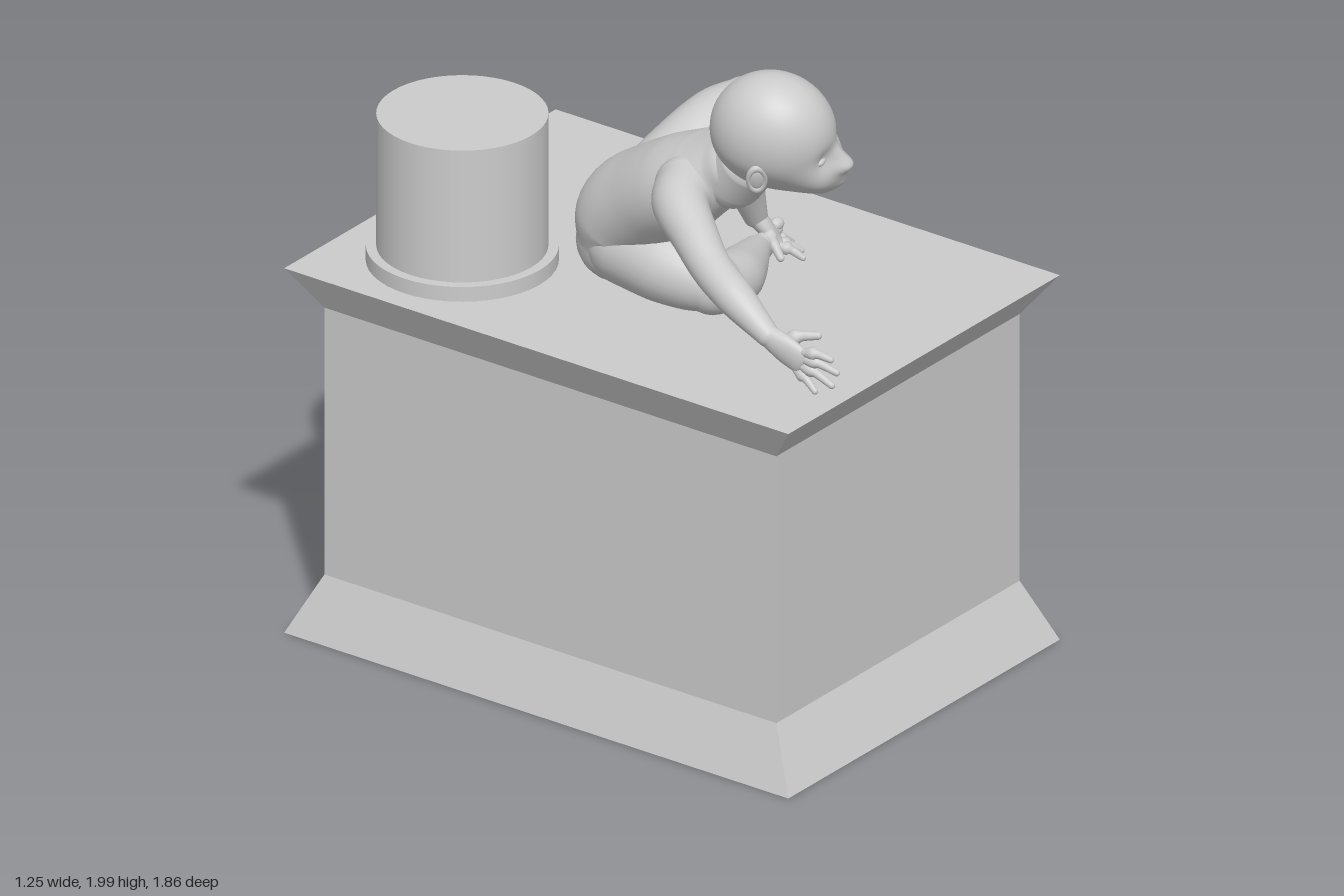
import * as THREE from 'three';

const material = new THREE.MeshStandardMaterial({ color: 0xcccccc });
const flat = new THREE.MeshStandardMaterial({ color: 0xcccccc, flatShading: true });
const V = (a) => new THREE.Vector3(...a);

function add(parent, name, geometry, mat = material) {
  const mesh = new THREE.Mesh(geometry, mat);
  mesh.name = name;
  parent.add(mesh);
  return mesh;
}

// Sweeps an ellipse along [x, y, z, radius along ref, other radius] with rounded ends.
function loft(sections, ref, steps = 10, sides = 28) {
  const path = new THREE.CatmullRomCurve3(sections.map((s) => V(s.slice(0, 3))));
  const radii = new THREE.CatmullRomCurve3(sections.map((s) => new THREE.Vector3(s[3], s[4] ?? s[3], 0)));
  const rows = [];
  const row = (u, angle, end) => {
    const t = path.getTangent(u), r = radii.getPoint(u);
    const centre = path.getPoint(u).addScaledVector(t, end * Math.sin(angle) * Math.min(r.x, r.y));
    rows.push({ centre, t, r: r.multiplyScalar(Math.cos(angle)) });
  };
  const cap = 8, body = steps * (sections.length - 1);
  for (let i = cap; i > 0; i--) row(0, (i / cap) * Math.PI / 2, -1);
  for (let i = 0; i <= body; i++) row(i / body, 0, 0);
  for (let i = 1; i <= cap; i++) row(1, (i / cap) * Math.PI / 2, 1);

  const positions = [], index = [];
  rows.forEach(({ centre, t, r }, i) => {
    const a = V(ref).addScaledVector(t, -V(ref).dot(t)).normalize();
    const b = t.clone().cross(a);
    for (let j = 0; j < sides; j++) {
      const q = (j / sides) * Math.PI * 2;
      const p = centre.clone().addScaledVector(a, r.x * Math.cos(q)).addScaledVector(b, r.y * Math.sin(q));
      positions.push(p.x, p.y, p.z);
      if (i === rows.length - 1) continue;
      const k = i * sides + j, n = i * sides + ((j + 1) % sides);
      index.push(k, n, k + sides, n, n + sides, k + sides);
    }
  });
  const g = new THREE.BufferGeometry();
  g.setAttribute('position', new THREE.Float32BufferAttribute(positions, 3));
  g.setIndex(index);
  g.computeVertexNormals();
  return g;
}

// Rectangular plinth with flared foot and rim
function plinth() {
  const g = new THREE.BoxGeometry(2, 1, 2, 1, 3, 1).toNonIndexed();
  const levels = [[0, 0.625, 0.87], [0.18, 0.56, 0.78], [1, 0.56, 0.78], [1.12, 0.625, 0.87]];
  const p = g.attributes.position;
  for (let i = 0; i < p.count; i++) {
    const [y, w, d] = levels[Math.round((p.getY(i) + 0.5) * 3)];
    p.setXYZ(i, p.getX(i) * w, y, p.getZ(i) * d - 0.055);
  }
  g.computeVertexNormals();
  return g;
}

// Skull shaped from a sphere: fuller lower face, then soft bumps for the features
function skull() {
  const g = new THREE.SphereGeometry(1, 96, 80);
  const p = g.attributes.position, v = new THREE.Vector3();
  const bumps = [ // centre, spread, push
    [[0, -0.165, 0.13], 0.045, [0, -0.028, 0.028]], // chin
    [[0, -0.068, 0.185], 0.018, [0, -0.004, 0.03]], // nose tip
    [[0, -0.035, 0.185], 0.015, [0, 0, 0.01]], // nose bridge
    [[0, -0.108, 0.18], 0.022, [0, 0, 0.014]], // upper lip
    [[0, -0.138, 0.17], 0.018, [0, 0, 0.014]], // lower lip
  ];
  for (const s of [-1, 1]) bumps.push(
    [[s * 0.018, -0.075, 0.18], 0.011, [0, 0, 0.011]], // nostril
    [[s * 0.075, -0.1, 0.145], 0.04, [s * 0.01, -0.006, 0.012]], // cheek
    [[s * 0.055, -0.028, 0.165], 0.022, [0, 0, -0.013]], // eye socket
    [[s * 0.018, -0.124, 0.18], 0.009, [0, 0, -0.006]], // mouth line
  );
  for (let i = 0; i < p.count; i++) {
    v.fromBufferAttribute(p, i);
    const low = THREE.MathUtils.smoothstep(-v.y, 0, 0.85), front = Math.max(0, v.z);
    v.set(v.x * 0.152 * (1 - 0.13 * low), v.y * 0.182, v.z * 0.178 + 0.05 * low * Math.sqrt(front));
    const base = v.clone();
    for (const [c, spread, push] of bumps)
      v.addScaledVector(V(push), Math.exp(-base.distanceToSquared(V(c)) / (2 * spread * spread)));
    p.setXYZ(i, v.x, v.y, v.z);
  }
  g.computeVertexNormals();
  return g;
}

function head() {
  const group = new THREE.Group();
  group.name = 'head';
  add(group, 'skull', skull());
  for (const s of [-1, 1]) {
    const eye = add(group, 'eye', new THREE.SphereGeometry(0.02, 20, 14));
    eye.position.set(s * 0.054, -0.03, 0.148);
    eye.scale.set(1.1, 0.65, 0.8);
    const ear = new THREE.Group();
    ear.name = 'ear';
    const rim = add(ear, 'earRim', new THREE.TorusGeometry(0.032, 0.009, 10, 28));
    rim.scale.set(0.75, 1.25, 1);
    const bowl = add(ear, 'earBowl', new THREE.SphereGeometry(0.03, 18, 12));
    bowl.scale.set(0.8, 1.2, 0.3);
    ear.position.set(s * 0.153, -0.045, -0.005);
    ear.rotation.y = s * 1.15;
    group.add(ear);
  }
  // Turned to its left and tilted to its right
  const left = V([0.897, 0.304, -0.32]).normalize();
  const up = V([0.35, -0.05, 0.93]).cross(left).normalize();
  group.setRotationFromMatrix(new THREE.Matrix4().makeBasis(left, up, left.clone().cross(up)));
  group.position.set(-0.26, 1.815, 0.49);
  return group;
}

// Palm, four fingers fanned along the spread direction, and a thumb
function hand(name, wrist, palm, spread, tips, thumb) {
  const group = new THREE.Group();
  group.name = name;
  add(group, 'palm', loft([[...wrist, 0.033, 0.028], [...V(wrist).lerp(V(palm), 0.55), 0.043, 0.024], [...palm, 0.042, 0.018]], spread));
  const digit = (part, from, tip, r) => {
    const mid = from.clone().lerp(V(tip), 0.5).add(new THREE.Vector3(0, 0.006, 0));
    add(group, part, loft([[...from, r], [...mid, r], [...tip, r * 0.75]], spread, 5, 12));
  };
  tips.forEach((tip, i) => digit('finger', V(palm).addScaledVector(V(spread), 0.033 - i * 0.022), tip, 0.0125));
  digit('thumb', V(wrist).lerp(V(palm), 0.4).addScaledVector(V(thumb).sub(V(palm)), 0.2), thumb, 0.015);
  return group;
}

// Foot sweep with five toes, the first one biggest
function foot(name, sections, ref, firstToe, lastToe) {
  const group = new THREE.Group();
  group.name = name;
  add(group, 'sole', loft(sections, ref));
  for (let i = 0; i < 5; i++) {
    const toe = add(group, 'toe', new THREE.SphereGeometry(0.019 - i * 0.0017, 14, 10));
    toe.position.copy(V(firstToe).lerp(V(lastToe), i / 4));
    toe.scale.x = 1.35;
  }
  return group;
}

export function createModel() {
  const model = new THREE.Group();
  add(model, 'plinth', plinth(), flat);

  // Round drum behind the figure
  const drum = (name, r, y0, y1) =>
    add(model, name, new THREE.CylinderGeometry(r, r, y1 - y0, 48)).position.set(-0.285, (y0 + y1) / 2, -0.565);
  drum('drumBase', 0.267, 1.12, 1.165);
  drum('drum', 0.238, 1.165, 1.57);

  // Leaning child
  const child = new THREE.Group();
  child.name = 'child';
  model.add(child);
  add(child, 'torso', loft([
    [-0.13, 1.27, -0.12, 0.15, 0.13], [-0.14, 1.36, -0.09, 0.17, 0.145], [-0.17, 1.45, 0.02, 0.165, 0.14],
    [-0.2, 1.53, 0.14, 0.165, 0.135], [-0.21, 1.59, 0.23, 0.16, 0.115], [-0.225, 1.65, 0.32, 0.1, 0.09],
  ], [0.95, 0.2, -0.05], 10, 40));
  add(child, 'neck', loft([[-0.22, 1.62, 0.32, 0.1], [-0.235, 1.69, 0.39, 0.09], [-0.25, 1.75, 0.44, 0.09]], [1, 0, 0]));
  child.add(head());

  add(child, 'rightArm', loft([
    [-0.3, 1.58, 0.22, 0.09], [-0.38, 1.57, 0.26, 0.08], [-0.45, 1.53, 0.36, 0.066],
    [-0.505, 1.48, 0.46, 0.058], [-0.54, 1.44, 0.56, 0.055], [-0.568, 1.37, 0.7, 0.034],
  ], [0, 1, 0.2]));
  child.add(hand('rightHand', [-0.568, 1.37, 0.7], [-0.562, 1.318, 0.81], [0, 0.92, 0.39],
    [[-0.55, 1.345, 0.905], [-0.545, 1.308, 0.922], [-0.555, 1.27, 0.912], [-0.57, 1.245, 0.865]], [-0.515, 1.385, 0.835]));

  add(child, 'leftArm', loft([
    [-0.09, 1.63, 0.25, 0.09], [-0.01, 1.61, 0.23, 0.082], [0.06, 1.54, 0.16, 0.068],
    [0.115, 1.45, 0.095, 0.057], [0.16, 1.36, 0.08, 0.052], [0.21, 1.25, 0.075, 0.035],
  ], [0, 0, 1]));
  child.add(hand('leftHand', [0.21, 1.25, 0.075], [0.255, 1.165, 0.115], [0.65, 0, -0.76],
    [[0.325, 1.14, 0.055], [0.325, 1.135, 0.115], [0.297, 1.135, 0.168], [0.262, 1.135, 0.2]], [0.2, 1.15, 0.17]));

  // Right leg folded on the plinth
  add(child, 'rightThigh', loft([
    [-0.18, 1.28, -0.06, 0.125], [-0.2, 1.265, 0.08, 0.115], [-0.195, 1.25, 0.17, 0.1], [-0.185, 1.24, 0.225, 0.085],
  ], [0, 1, 0]));
  add(child, 'rightCalf', loft([
    [-0.185, 1.235, 0.225, 0.085], [-0.08, 1.21, 0.215, 0.082], [0.03, 1.19, 0.17, 0.068], [0.15, 1.178, 0.12, 0.043],
  ], [0, 1, 0]));
  child.add(foot('rightFoot', [
    [0.13, 1.172, 0.12, 0.045, 0.042], [0.19, 1.168, 0.11, 0.045, 0.033], [0.25, 1.17, 0.1, 0.045, 0.022],
  ], [0, 1, 0.2], [0.275, 1.205, 0.1], [0.265, 1.14, 0.1]));

  // Left leg with the knee raised
  add(child, 'leftThigh', loft([
    [-0.05, 1.33, -0.1, 0.14], [0.09, 1.43, -0.08, 0.115], [0.22, 1.495, -0.06, 0.098], [0.315, 1.515, -0.04, 0.08],
  ], [0, 0, 1]));
  add(child, 'leftCalf', loft([
    [0.32, 1.51, -0.045, 0.079], [0.33, 1.42, -0.085, 0.076], [0.328, 1.31, -0.135, 0.058], [0.355, 1.19, -0.19, 0.04],
  ], [0, 0, 1]));
  child.add(foot('leftFoot', [
    [0.355, 1.165, -0.2, 0.04, 0.042], [0.41, 1.155, -0.205, 0.044, 0.033], [0.465, 1.142, -0.21, 0.047, 0.02],
  ], [0, 0, 1], [0.492, 1.139, -0.175], [0.475, 1.135, -0.248]));
  return model;
}
